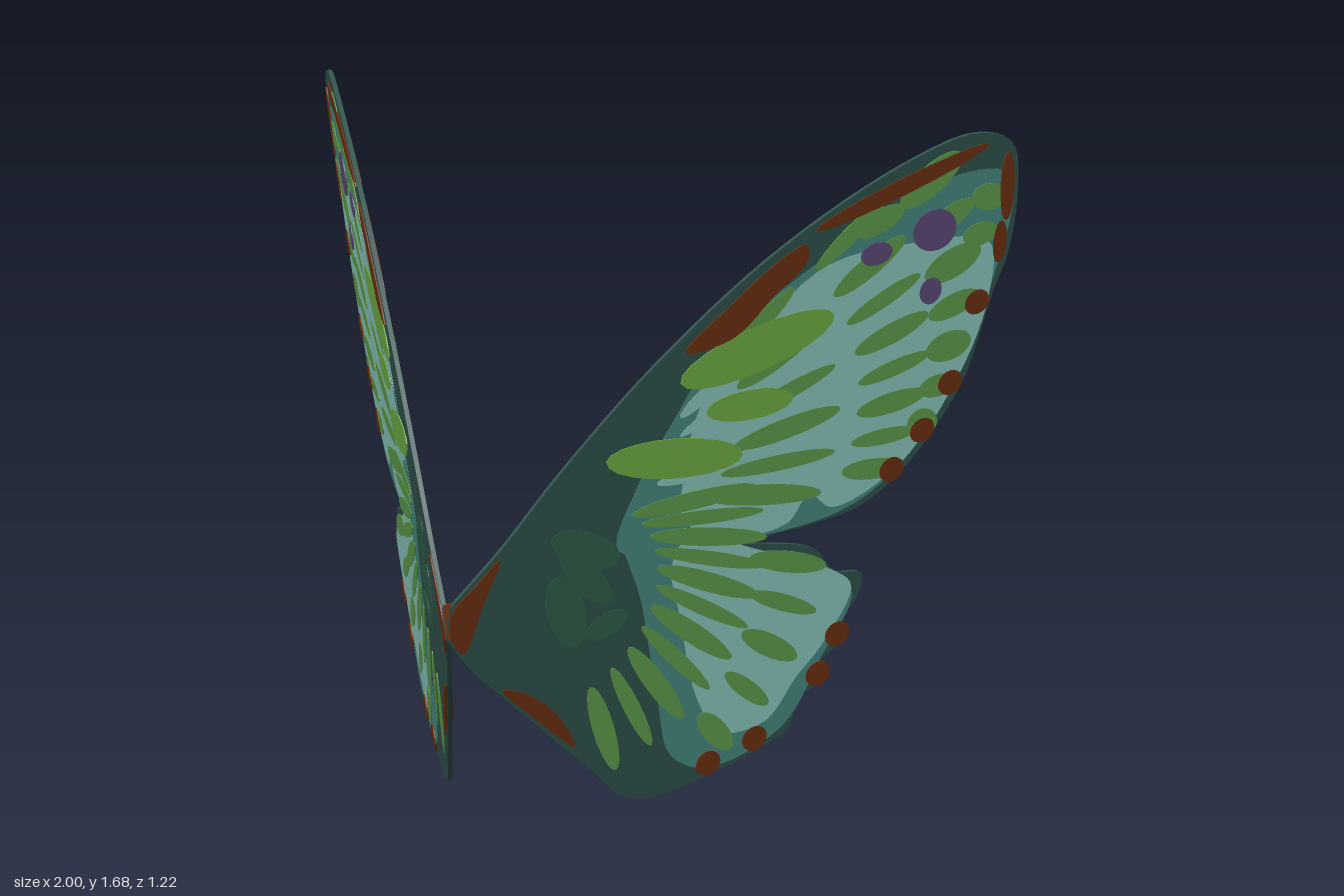
import * as THREE from 'three';

const mat = (name, color) => Object.assign(new THREE.MeshStandardMaterial({ color }), { name });
const M = {
  dark: mat('darkGreenBase', 0x30524c),
  moss: mat('mossGreen', 0x2f5f48),
  teal: mat('teal', 0x478a82),
  pale: mat('paleAqua', 0x8cc8c0),
  green: mat('leafGreen', 0x5f9f4c),
  lime: mat('limeGreen', 0x70b046),
  brown: mat('rustBrown', 0x6e3010),
  purple: mat('purple', 0x5c4a78),
};

// Wing coordinates are hundredths: s runs outwards from the hinge, t is height.
const spline = (pts, closed) => new THREE.CatmullRomCurve3(
  pts.map(([s, t]) => new THREE.Vector3(s / 100, t / 100, 0)), closed, 'centripetal',
).getPoints(pts.length * 6).map((p) => new THREE.Vector2(p.x, p.y));
const blob = (pts) => new THREE.Shape(spline(pts, true).slice(0, -1));
const towards = (pts, [s, t], k) => pts.map((p) => [s + (p[0] - s) * k, t + (p[1] - t) * k]);

// Elongated oval marking from one end to the other
const streak = ([s0, t0, s1, t1, w]) => {
  const shape = new THREE.Shape();
  const len = Math.hypot(s1 - s0, t1 - t0);
  shape.absellipse((s0 + s1) / 200, (t0 + t1) / 200, len / 200, w / 200, 0, Math.PI * 2, false, Math.atan2(t1 - t0, s1 - s0));
  return shape;
};

// Streaks fanning out from a wing root; angle and radii change evenly along the fan
const FORE_ROOT = [30, 80];
const HIND_ROOT = [20, 72];
const fan = ([s, t], n, angles, inner, outer, w) => Array.from({ length: n }, (_, i) => {
  const mix = ([a, b]) => a + (b - a) * i / (n - 1);
  const a = THREE.MathUtils.degToRad(mix(angles));
  const at = (r) => [s + r * Math.cos(a), t + r * Math.sin(a)];
  return streak([...at(mix(inner)), ...at(mix(outer)), w * (i % 2 ? 0.85 : 1.1)]);
});

// Silhouette: forewing edge to the notch, then scalloped hindwing edge
const FORE_EDGE = [[0, 55], [10, 69], [22, 88.5], [41, 115], [66, 142], [93, 162], [109, 168.5], [117.5, 165.5],
  [120.5, 152], [120, 135], [118, 127], [114, 104.5], [108.5, 91.5], [102, 81], [93, 72.5], [67, 65.5]];
const HIND_EDGE = [[67, 65.5], [84, 62.5], [89.5, 56], [96, 55], [95.5, 48], [91.5, 42.5], [95, 39], [88.5, 31.5],
  [91.5, 28], [85, 23.5], [84, 15.5], [77.5, 11], [66.5, 5], [53, 0.3], [46, 2], [39.5, 8], [21.5, 24.5], [6, 39], [0, 47]];
const outline = new THREE.Shape([...spline(FORE_EDGE, false), ...spline(HIND_EDGE, false).slice(1)]);

// Broad colour zones shared by both faces; pale fingers reach into the teal
const teal = [
  [[56, 119], [46, 98], [40, 82], [38, 66], [67, 66.5], [92, 73.5], [107, 91.5], [117, 127], [118, 157], [106, 158], [82, 143]],
  [[38, 74], [45, 52], [52, 26], [57, 11], [66, 7], [82, 16], [89, 33], [94, 52], [67, 65]],
].map(blob);
const pale = [
  ...[[[64, 122], [53, 104], [51, 90], [53, 72], [68, 67.5], [77, 70], [81, 77], [87, 73], [101, 82.5], [112.5, 105],
    [117, 126], [115, 140], [98, 141], [78, 137]],
  [[56, 71], [51, 62], [55, 46], [61, 26], [68, 16], [78, 18], [84, 29], [89, 37], [94, 52], [88, 57], [67, 65]]].map(blob),
  ...fan(FORE_ROOT, 5, [12, 48], [15, 27], [34, 46], 3.5),
];

// Spots along the trailing edges, nudged inwards from the silhouette
const edgeSpots = [
  ...towards(FORE_EDGE.slice(10, 14), [72, 90], 0.92),
  ...towards([6, 8, 11, 12].map((i) => HIND_EDGE[i]), [60, 45], 0.92),
].map(([s, t]) => streak([s - 0.6, t - 3.2, s + 0.6, t + 3.2, 5.5]));

const moss = [...fan(HIND_ROOT, 3, [-25, -70], [2, 12], [20, 32], 8), ...[[38, 93, 46, 88, 5], [33, 44, 42, 50, 6]].map(streak)];
const green = [
  ...fan(FORE_ROOT, 6, [-3, 52], [26, 44], [54, 66], 5),
  ...fan(FORE_ROOT, 8, [2, 51], [58, 72], [72, 94], 5),
  ...fan(FORE_ROOT, 7, [10, 48], [73, 95], [80, 113], 7),
  ...fan(HIND_ROOT, 11, [10, -69], [20, 44], [49, 68], 4.4),
  ...fan(HIND_ROOT, 5, [-12, -50], [50, 66], [69, 79], 5),
  ...[[110, 153, 117.5, 150, 7], [84, 144, 94, 151, 6], [109, 141, 117, 143, 6]].map(streak),
];

// Markings on each face, stacked in order
const outerFace = {
  teal, pale, moss, green,
  lime: [[32, 90, 64, 89, 10.5], [47, 109, 81, 124, 12], [54, 101, 74, 103, 8]].map(streak),
  brown: [...edgeSpots,
    blob([[47, 117], [57, 129.5], [66, 139], [72, 143], [73, 139], [66, 130], [58, 120]]),
    blob([[0.7, 54], [0.7, 48], [4.5, 42.5], [7.5, 55], [10, 66.5], [5, 60]]),
    blob([[15, 32], [21, 30.5], [29, 24], [34, 15.5], [24, 23.5]]),
    ...[[74, 146.5, 112, 165.5, 4.5], [117, 163, 118.5, 145, 3.2], [117.5, 145, 118, 134, 3]].map(streak)],
  purple: [[102, 138.5, 102, 149.5, 10], [85.5, 138, 92.5, 140, 6], [103, 124.5, 103, 131.5, 5]].map(streak),
};
const innerFace = {
  teal, pale, moss, green,
  lime: [[16, 41, 3, 53.5, 10], [20, 34, 27, 32, 8], [31, 94, 60, 84, 6], [42, 112, 66, 121, 5], [112, 161, 117, 158, 7]].map(streak),
  brown: [...edgeSpots, ...[[57, 99, 68, 103, 8], [52, 124, 72, 143, 3], [76, 147, 100, 161, 3.5],
    [20, 28.5, 30, 19.5, 3.5]].map(streak)],
  purple: [...[[111, 159, 103, 134, 12], [81, 122, 60, 113, 9]].map(streak),
    ...fan(FORE_ROOT, 5, [4, 36], [42, 66], [59, 80], 4.8),
    ...fan(HIND_ROOT, 4, [-8, -64], [31, 43], [51, 57], 8)],
};

const HALF = 0.006;
const LAYER = 0.0006;
function plate(name, material, shapes, z0, z1, frame) {
  const geo = new THREE.ExtrudeGeometry(shapes, { depth: z1 - z0, bevelEnabled: false, curveSegments: 10 });
  geo.translate(0, 0, z0).applyMatrix4(frame);
  const mesh = new THREE.Mesh(geo, material);
  mesh.name = name;
  return mesh;
}

function makeWing(side) {
  const wing = new THREE.Group();
  wing.name = side > 0 ? 'leftWing' : 'rightWing';
  // Slanted wing plane, swept back from the hinge and leaning outwards
  const along = new THREE.Vector3(0.69 * side, 0, -1);
  const up = new THREE.Vector3(0.155 * side, 1, 0);
  const normal = along.clone().cross(up).normalize();
  const frame = new THREE.Matrix4().makeBasis(along, up, normal).setPosition(-0.0775 * side, 0, 0.6);
  wing.add(plate('wingBase', M.dark, outline, -HALF, HALF, frame));
  [[outerFace, side, 'outer'], [innerFace, -side, 'inner']].forEach(([face, dir, label]) => {
    Object.entries(face).forEach(([key, shapes], i) => {
      const top = HALF + LAYER * (i + 1);
      const [z0, z1] = dir > 0 ? [0.005, top] : [-top, -0.005];
      wing.add(plate(`${label} ${M[key].name} markings`, M[key], shapes, z0, z1, frame));
    });
  });
  return wing;
}

export function createModel() {
  const model = new THREE.Group();
  model.name = 'butterflyWings';
  model.add(makeWing(1), makeWing(-1));
  // Small hinge joining the wings at the front
  const hinge = new THREE.Mesh(new THREE.CylinderGeometry(0.018, 0.014, 0.09, 12), M.brown);
  hinge.name = 'hinge';
  hinge.position.set(0, 0.51, 0.587);
  model.add(hinge);
  return model;
}
